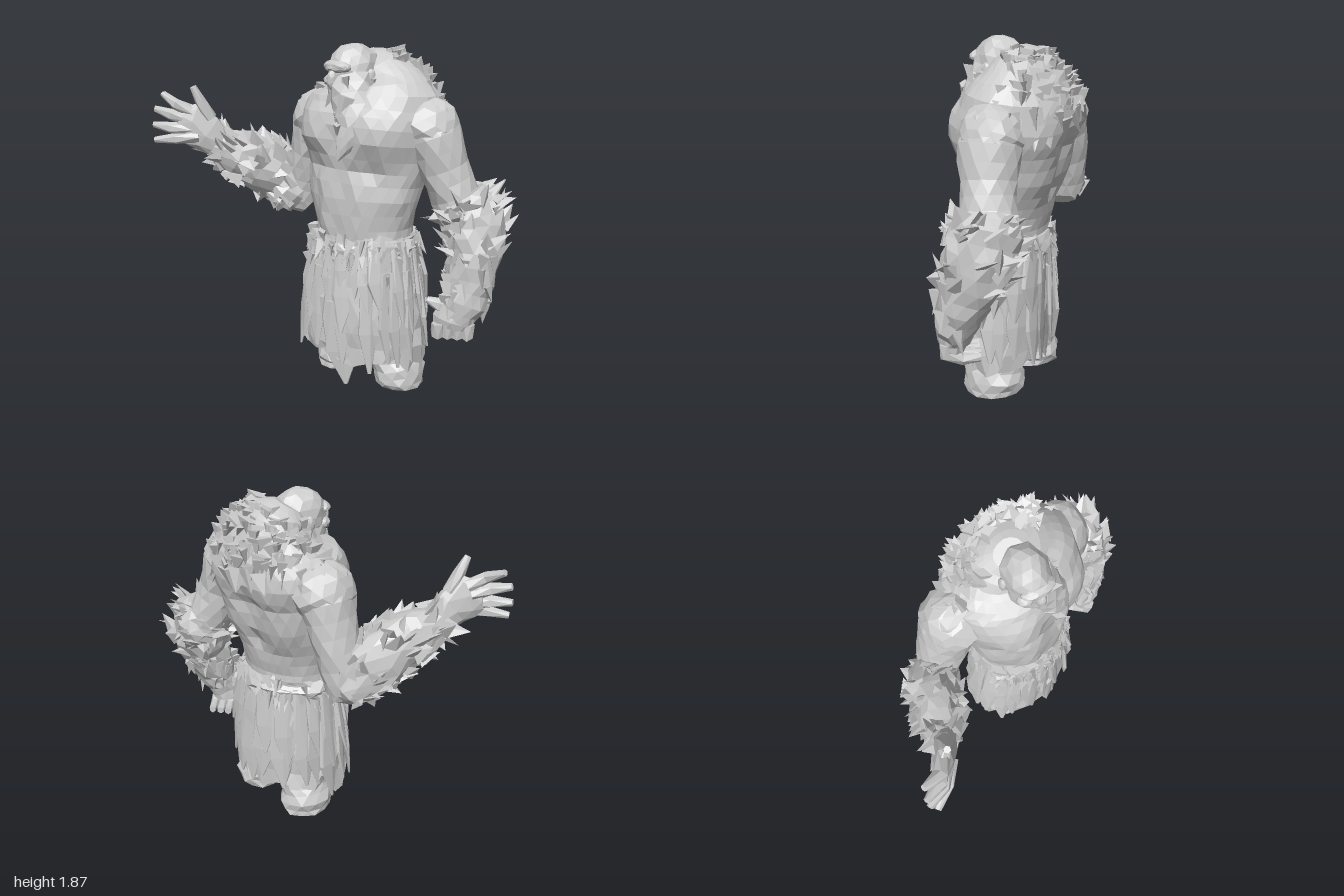
import * as THREE from 'three';
import { mergeGeometries } from 'three/addons/utils/BufferGeometryUtils.js';

const V = (x, y, z) => new THREE.Vector3(x, y, z);
const mat = new THREE.MeshStandardMaterial({ color: 0xcccccc, flatShading: true, side: THREE.DoubleSide });
const sideways = yaw => V(Math.cos(yaw), 0, -Math.sin(yaw));
const forward = yaw => V(Math.sin(yaw), 0, Math.cos(yaw));
const YAW = -0.52; // the upper body is twisted towards its right
const SIDE = sideways(YAW), FRONT = forward(YAW), UP = V(0, 1, 0);

// Small seeded generator
let seed = 7;
function rnd(a = 0, b = 1) {
  seed = (seed * 16807) % 2147483647;
  return a + (b - a) * (seed / 2147483647);
}

// Extra rows between the given ones
function refine(rows, k) {
  return rows.flatMap((r, i) => i === rows.length - 1 ? [r]
    : Array.from({ length: k }, (_, j) => r.map((v, c) => v + (rows[i + 1][c] - v) * j / k)));
}

// Rings across a path; rows are [x, y, z, halfWidth, halfDepth]
function frames(rows, ref) {
  const pts = rows.map(r => V(r[0], r[1], r[2]));
  return rows.map((r, i) => {
    const t = pts[Math.min(i + 1, pts.length - 1)].clone().sub(pts[Math.max(i - 1, 0)]).normalize();
    const u = ref.clone().addScaledVector(t, -ref.dot(t)).normalize();
    return { p: pts[i], u, v: t.clone().cross(u), a: r[3], b: r[4] ?? r[3] };
  });
}

function ringPoint(f, ang, k = 1) {
  return f.p.clone().addScaledVector(f.u, Math.cos(ang) * f.a * k).addScaledVector(f.v, Math.sin(ang) * f.b * k);
}

// Faceted skin over rings; relief gives an outward shift at a point
function loftGeo(rows, { ref = V(1, 0, 0), n = 12, rough = 0.06, capped = true, hem = 0, relief = () => 0 } = {}) {
  const fs = frames(rows, ref), pos = [], idx = [];
  fs.forEach((f, i) => {
    for (let j = 0; j < n; j++) {
      const p = ringPoint(f, (j + (i % 2) * 0.5) / n * Math.PI * 2, 1 + rnd(-rough, rough));
      p.addScaledVector(p.clone().sub(f.p).normalize(), relief(p));
      if (hem && i === 0) p.y += rnd(-hem, hem);
      pos.push(p.x, p.y, p.z);
    }
  });
  for (let i = 0; i < fs.length - 1; i++) for (let j = 0; j < n; j++) {
    const k = (j + 1) % n, a = i * n + j, b = i * n + k, c = a + n, d = b + n;
    if (i % 2) idx.push(a, b, d, a, d, c);
    else idx.push(a, b, c, b, d, c);
  }
  if (capped) [[0, 1], [fs.length - 1, 0]].forEach(([i, flip]) => {
    const c = pos.length / 3, p = fs[i].p;
    pos.push(p.x, p.y, p.z);
    for (let j = 0; j < n; j++) {
      const a = i * n + j, b = i * n + (j + 1) % n;
      idx.push(c, flip ? b : a, flip ? a : b);
    }
  });
  const g = new THREE.BufferGeometry();
  g.setAttribute('position', new THREE.Float32BufferAttribute(pos, 3));
  g.setIndex(idx);
  const out = g.toNonIndexed();
  out.computeVertexNormals();
  return out;
}

// Faceted lump
function blobGeo(p, s, yaw = YAW) {
  const g = new THREE.IcosahedronGeometry(1, 2), a = g.attributes.position;
  for (let i = 0; i < a.count; i++) {
    const x = a.getX(i), y = a.getY(i), z = a.getZ(i);
    const k = 1 + 0.06 * Math.sin(x * 9.1 + p.x * 20) * Math.cos(y * 8.3 + z * 7.7);
    a.setXYZ(i, x * k, y * k, z * k);
  }
  g.deleteAttribute('uv');
  g.scale(...s).rotateY(yaw).translate(p.x, p.y, p.z);
  g.computeVertexNormals();
  return g;
}

// Pointed tuft of fur
function spikeGeo(p, dir, len, w) {
  const g = new THREE.ConeGeometry(w, len, 4, 1).toNonIndexed();
  g.deleteAttribute('uv');
  g.scale(1, 1, 0.45).rotateY(rnd(0, 3)).translate(0, len * 0.3, 0);
  g.applyQuaternion(new THREE.Quaternion().setFromUnitVectors(UP, dir.clone().normalize()));
  return g.translate(p.x, p.y, p.z);
}

// Tufts scattered over a loft, leaning along a direction
function furGeo(rows, count, { ref = V(1, 0, 0), lean = V(0, -1, 0), len = 0.1, w = 0.045, from = 0, to = Math.PI * 2, out = 0.4 } = {}) {
  const fs = frames(rows, ref), list = [];
  for (let i = 0; i < count; i++) {
    const k = Math.floor(rnd(0, fs.length - 1)), ang = rnd(from, to);
    const p = ringPoint(fs[k], ang, 0.96).lerp(ringPoint(fs[k + 1], ang, 0.96), rnd());
    const n = ringPoint(fs[k], ang).sub(fs[k].p).normalize();
    const d = n.multiplyScalar(out).add(lean).add(V(rnd(-0.3, 0.3), rnd(-0.3, 0.3), rnd(-0.3, 0.3)));
    list.push(spikeGeo(p, d, len * rnd(0.7, 1.3), w * rnd(0.7, 1.3)));
  }
  return mergeGeometries(list);
}

// Muscles of one side: sideways, height, forward, radius, bulge
const MUSCLES = [
  [0.13, 1.4, 0.27, 0.14, 0.05], [0.25, 1.43, 0.22, 0.13, 0.04], [0.16, 1.24, 0.25, 0.06, -0.03],
  [0.09, 1.14, 0.25, 0.06, 0.025], [0.09, 1.02, 0.24, 0.06, 0.025], [0.09, 0.91, 0.23, 0.06, 0.02],
  [0.27, 1.05, 0.12, 0.08, 0.02], [0.17, 1.2, -0.22, 0.14, 0.05], [0.2, 1.46, -0.2, 0.15, 0.05],
  [0, 1.3, -0.25, 0.06, -0.03], [0, 1.1, -0.23, 0.06, -0.03], [0, 1.38, 0.27, 0.05, -0.03],
];
function muscleRelief(p) {
  const d = p.clone().sub(V(0.21, 0, 0.03)), u = Math.abs(d.dot(SIDE)), f = d.dot(FRONT);
  return MUSCLES.reduce((s, [mu, my, mf, r, h]) =>
    s + h * Math.exp(-((u - mu) ** 2 + (p.y - my) ** 2 + (f - mf) ** 2) / (r * r)), 0);
}

export function createModel() {
  const model = new THREE.Group();
  const add = (name, ...geos) => {
    const m = new THREE.Mesh(mergeGeometries(geos), mat);
    m.name = name;
    model.add(m);
  };

  // Muscular torso
  add('torso', loftGeo(refine([
    [0.2, 0.76, 0.07, 0.28, 0.22], [0.2, 0.9, 0.07, 0.28, 0.22], [0.2, 1.05, 0.06, 0.31, 0.235],
    [0.21, 1.2, 0.04, 0.34, 0.24], [0.22, 1.35, 0.03, 0.37, 0.26], [0.23, 1.48, 0.01, 0.39, 0.28],
    [0.24, 1.59, 0, 0.37, 0.26], [0.23, 1.68, -0.01, 0.27, 0.2], [0.2, 1.76, 0, 0.17, 0.14], [0.18, 1.8, 0.01, 0.08, 0.07],
  ], 2), { ref: SIDE, n: 30, rough: 0.02, relief: muscleRelief }));

  // Head with brow, nose and ears, turned to its right
  const hy = -0.78, face = forward(hy), hs = sideways(hy);
  const onHead = (u, y, f) => V(0.14, y, 0.1).addScaledVector(hs, u).addScaledVector(face, f);
  const features = [blobGeo(onHead(0, 1.725, 0), [0.12, 0.145, 0.15], hy), blobGeo(onHead(0, 1.63, 0.03), [0.115, 0.13, 0.12], hy),
    blobGeo(onHead(0, 1.755, 0.115), [0.095, 0.035, 0.05], hy), blobGeo(onHead(0, 1.69, 0.145), [0.028, 0.055, 0.035], hy)];
  for (const s of [-1, 1]) {
    features.push(blobGeo(onHead(s * 0.06, 1.68, 0.1), [0.045, 0.035, 0.045], hy));
    features.push(blobGeo(onHead(s * 0.12, 1.7, -0.01), [0.02, 0.045, 0.03], hy));
  }
  add('head', ...features);
  const beard = [[0.13, 1.69, 0.15, 0.11, 0.09], [0.145, 1.6, 0.2, 0.13, 0.09], [0.16, 1.49, 0.26, 0.1, 0.07], [0.12, 1.39, 0.29, 0.06, 0.05], [0.07, 1.29, 0.31, 0.008, 0.008]];
  add('beard', loftGeo(refine(beard, 2), { n: 9, rough: 0.1 }), furGeo(beard.slice(0, 4), 14, { out: 0.05, len: 0.13, w: 0.04 }));

  // Fur mantle over the upper back and shoulders
  add('mantle', furGeo([[0.23, 1.5, 0, 0.39, 0.3], [0.24, 1.59, 0, 0.37, 0.28], [0.23, 1.68, -0.01, 0.28, 0.21], [0.2, 1.77, 0, 0.17, 0.13]], 130,
    { ref: SIDE, to: Math.PI, len: 0.11, w: 0.06, out: 0.25 }));

  // Lowered left arm
  const REF = V(1, 0, 0.3).normalize();
  add('leftUpperArm', blobGeo(V(0.53, 1.45, 0.17), [0.17, 0.16, 0.165]), loftGeo(refine([[0.49, 1.55, 0.14, 0.08], [0.53, 1.49, 0.165, 0.145, 0.14], [0.565, 1.4, 0.185, 0.15, 0.16],
    [0.62, 1.24, 0.2, 0.13, 0.14], [0.68, 1.1, 0.2, 0.13, 0.14], [0.75, 0.95, 0.21, 0.13, 0.15]], 2), { ref: REF, rough: 0.04 }));
  const leftFore = [[0.72, 1.09, 0.21, 0.13, 0.14], [0.76, 1.03, 0.22, 0.175, 0.175], [0.79, 0.93, 0.25, 0.165, 0.18], [0.79, 0.8, 0.3, 0.14, 0.165],
    [0.77, 0.67, 0.34, 0.13, 0.135], [0.74, 0.56, 0.37, 0.11, 0.11], [0.7, 0.47, 0.38, 0.09, 0.09]];
  add('leftForearm', loftGeo(refine(leftFore, 2), { ref: REF, n: 14, rough: 0.09 }));
  add('leftCuff', furGeo(leftFore.slice(0, 4), 60, { len: 0.11, w: 0.055, lean: V(0.1, 0.3, -0.2), out: 0.35 }),
    furGeo(leftFore.slice(3, 6), 25, { len: 0.1, w: 0.05, out: 0.1 }));
  const leftHand = [loftGeo([[0.72, 0.55, 0.37, 0.1, 0.08], [0.69, 0.47, 0.39, 0.11, 0.075], [0.68, 0.4, 0.38, 0.1, 0.06]], { n: 9 })];
  for (let i = 0; i < 4; i++) {
    const x = 0.61 + i * 0.05;
    leftHand.push(loftGeo([[x, 0.46, 0.42, 0.038], [x, 0.4, 0.42, 0.038], [x, 0.37, 0.34, 0.032], [x - 0.01, 0.37, 0.25, 0.022]], { n: 6, rough: 0.12 }));
  }
  leftHand.push(loftGeo([[0.69, 0.52, 0.36, 0.05], [0.61, 0.55, 0.38, 0.038], [0.55, 0.57, 0.37, 0.018]], { ref: V(0, 0, 1), n: 6 }));
  add('leftHand', ...leftHand);

  // Bent right arm
  add('rightUpperArm', blobGeo(V(-0.06, 1.43, -0.22), [0.165, 0.16, 0.175]), loftGeo(refine([[0, 1.55, -0.14, 0.08], [-0.05, 1.48, -0.2, 0.14], [-0.085, 1.38, -0.24, 0.145, 0.16],
    [-0.13, 1.22, -0.27, 0.125, 0.14], [-0.17, 1.06, -0.29, 0.115, 0.125], [-0.19, 0.93, -0.29, 0.1, 0.11]], 2), { ref: REF, rough: 0.04 }));
  const rightFore = [[-0.15, 0.88, -0.28, 0.05, 0.07], [-0.22, 0.95, -0.29, 0.12, 0.13], [-0.32, 1.06, -0.28, 0.16, 0.14],
    [-0.44, 1.17, -0.22, 0.16, 0.13], [-0.56, 1.22, -0.15, 0.13, 0.11], [-0.67, 1.29, -0.1, 0.08, 0.06]];
  add('rightForearm', loftGeo(refine(rightFore, 2), { ref: UP, n: 14, rough: 0.09 }));
  add('rightCuff', furGeo(rightFore.slice(1), 90, { ref: UP, lean: V(-0.4, 0.4, -0.1), len: 0.1, w: 0.055, out: 0.3 }));
  const rightHand = [loftGeo([[-0.63, 1.27, -0.11, 0.085, 0.06], [-0.7, 1.35, -0.08, 0.11, 0.055], [-0.78, 1.4, -0.06, 0.12, 0.045], [-0.85, 1.41, -0.06, 0.08, 0.035]], { ref: UP, n: 9 })];
  for (const [x, y, z, tx, ty, tz] of [[-0.74, 1.33, -0.05, -0.99, 1.31, -0.04], [-0.78, 1.37, -0.06, -1, 1.39, -0.07],
    [-0.79, 1.42, -0.07, -0.99, 1.48, -0.08], [-0.77, 1.46, -0.07, -0.95, 1.56, -0.1], [-0.68, 1.43, -0.08, -0.76, 1.61, -0.04]]) {
    rightHand.push(loftGeo([[x, y, z, 0.045, 0.04], [(x + tx) / 2, (y + ty) / 2, z + 0.02, 0.04, 0.032], [tx, ty, tz, 0.018]], { ref: V(0, 0, 1), n: 6, rough: 0.12 }));
  }
  add('rightHand', ...rightHand);

  // Legs and feet, the left one forward
  for (const [name, x, z, yaw] of [['right', 0.075, -0.07, -0.4], ['left', 0.41, 0.16, -0.2]]) {
    const at = (y, k, a, b) => [x + (0.2 - x) * k, y, z + (0.09 - z) * k, a, b];
    add(name + 'Leg', loftGeo(refine([at(0, 0, 0.135, 0.155), at(0.06, 0, 0.145, 0.165), at(0.14, 0.1, 0.125, 0.14),
      at(0.3, 0.25, 0.12, 0.12), at(0.55, 0.35, 0.11, 0.11)], 2), { rough: 0.07, ref: sideways(yaw) }));
  }

  // Ragged hide skirt with hanging strips, shorter and denser at the front
  const SK = sideways(-0.35);
  const skirt = [[0.2, 0.17, 0.09, 0.355, 0.255], [0.2, 0.34, 0.09, 0.35, 0.255], [0.2, 0.51, 0.085, 0.335, 0.25], [0.2, 0.68, 0.08, 0.31, 0.24], [0.2, 0.83, 0.07, 0.28, 0.225]];
  add('skirt', loftGeo(refine(skirt, 2), { ref: SK, n: 26, rough: 0.05, capped: false, hem: 0.06 }));
  const strips = [], sf = frames(skirt, SK);
  const hang = (ang, top, end, w) => {
    const mid = top.clone().lerp(end, 0.6), across = V(-Math.sin(ang), 0, -Math.cos(ang));
    strips.push(loftGeo([[end.x, end.y, end.z, 0.01, 0.006], [mid.x, mid.y, mid.z, w, 0.018], [top.x, top.y, top.z, w * 0.7, 0.016]], { ref: across, n: 6, rough: 0.25 }));
  };
  for (let i = 0; i < 40; i++) {
    const ang = i / 20 * Math.PI * 2 + rnd(-0.1, 0.1), upper = i < 20;
    const end = ringPoint(sf[0], ang, rnd(0.99, 1.07));
    end.y = upper ? rnd(0.3, 0.5) : rnd(0.1, 0.25);
    hang(ang, ringPoint(sf[upper ? 4 : 3], ang, 1), end, Math.sin(ang) > 0.2 ? 0.075 : 0.06);
  }
  hang(4.6, ringPoint(sf[2], 4.6), V(0.12, 0.03, 0.31), 0.09);
  add('skirtStrips', ...strips);

  // Fur belt, thicker at the front
  const belt = [[0.2, 0.75, 0.07, 0.3, 0.24], [0.2, 0.8, 0.07, 0.315, 0.25], [0.2, 0.86, 0.07, 0.29, 0.235]];
  add('belt', loftGeo(refine(belt, 2), { ref: SK, n: 24, rough: 0.06 }),
    furGeo(belt, 80, { ref: SK, len: 0.1, w: 0.04, out: 0.4 }),
    furGeo([[0.2, 0.62, 0.08, 0.32, 0.25], ...belt], 50, { ref: SK, from: Math.PI * 1.05, to: Math.PI * 1.8, len: 0.13, w: 0.05, out: 0.2 }));

  return model;
}
